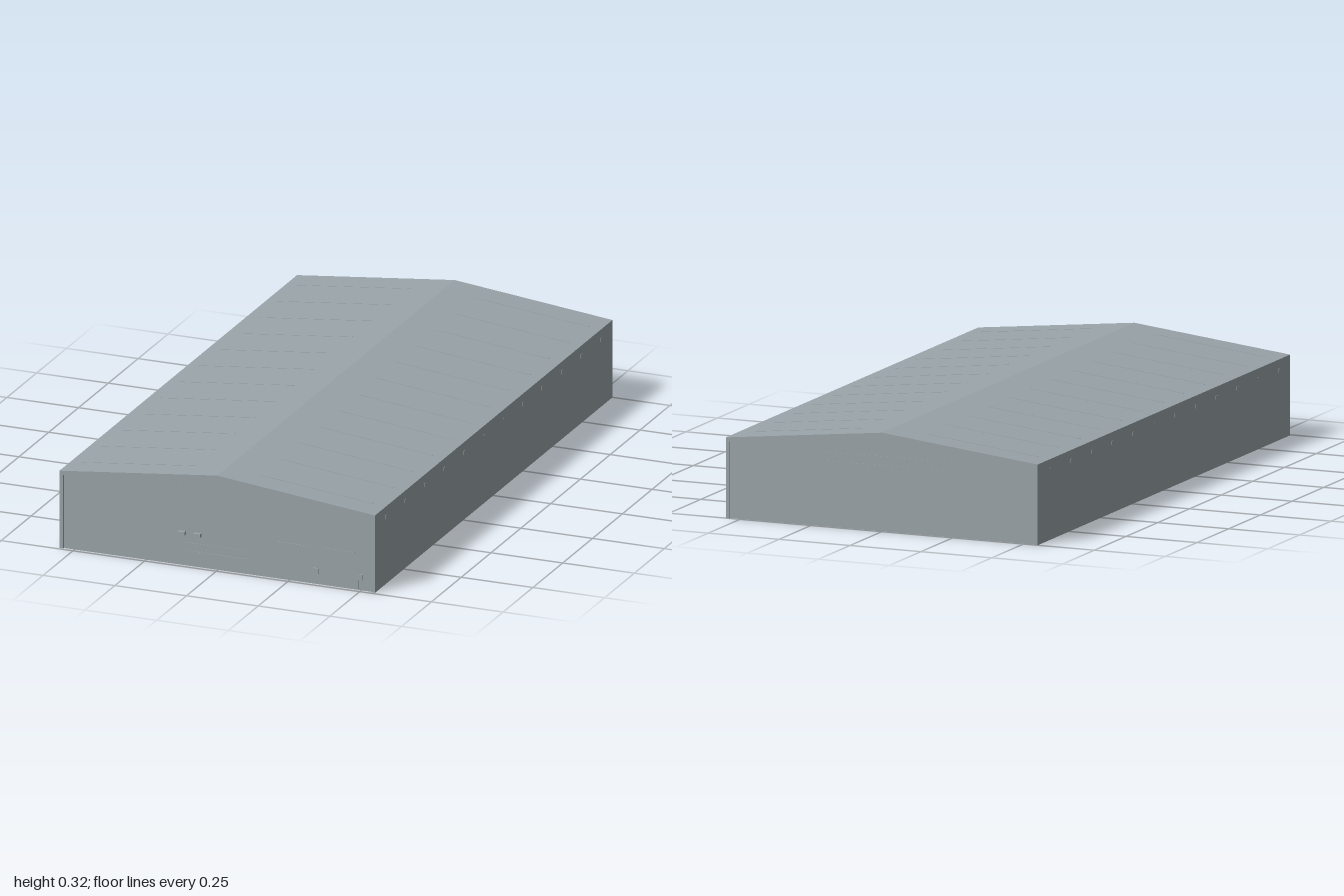
import * as THREE from 'three';

const HALF = 0.55, EAVE = 0.265, RIDGE = 0.325;
const FRONT = 0.992, BACK = -1, RECESS = 0.006;

export function createModel() {
  const model = new THREE.Group();
  model.name = 'warehouse';
  const steel = new THREE.MeshStandardMaterial({ color: 0x9aa4a9 });
  steel.name = 'grey steel';

  const extrude = (name, points, z0, z1) => {
    const shape = new THREE.Shape(points.map(([x, y]) => new THREE.Vector2(x, y)));
    const geo = new THREE.ExtrudeGeometry(shape, { depth: z1 - z0, bevelEnabled: false });
    geo.translate(0, 0, z0);
    const mesh = new THREE.Mesh(geo, steel);
    mesh.name = name;
    model.add(mesh);
  };
  const box = (name, w, h, d, x, y, z) => {
    const mesh = new THREE.Mesh(new THREE.BoxGeometry(w, h, d), steel);
    mesh.name = name;
    mesh.position.set(x, y, z);
    model.add(mesh);
    return mesh;
  };

  // Outer shell: side walls and pitched roof, open at both gables
  const inX = 0.537, inEave = 0.252, inRidge = 0.31;
  extrude('shell', [
    [-HALF, 0], [-inX, 0], [-inX, inEave], [0, inRidge], [inX, inEave], [inX, 0],
    [HALF, 0], [HALF, EAVE], [0, RIDGE], [-HALF, EAVE],
  ], BACK, FRONT);

  // Slightly recessed gable walls and floor
  extrude('gableWalls', [
    [-inX, 0], [inX, 0], [inX, inEave], [0, inRidge], [-inX, inEave],
  ], BACK + RECESS, FRONT - RECESS);

  // Shallow roof seams and small wall brackets at each bay
  const slope = Math.atan2(RIDGE - EAVE, HALF);
  for (let i = 0; i < 12; i++) {
    const z = 0.902 - i * 0.164;
    for (const side of [-1, 1]) {
      const x = side * 0.31;
      const seam = box('roofSeam', 0.4, 0.002, 0.004, x, RIDGE - Math.abs(x) * (RIDGE - EAVE) / HALF, z);
      seam.rotation.z = -side * slope;
      box('wallBracket', 0.003, 0.012, 0.012, side * HALF, 0.23, z);
    }
  }

  // Front wall: door posts, rails and panel trims
  const face = FRONT - RECESS;
  box('doorPost', 0.004, 0.26, 0.004, -0.132, 0.14, face);
  box('doorPost', 0.004, 0.26, 0.004, 0.128, 0.14, face);
  for (const y of [0.05, 0.078]) box('doorRail', 0.22, 0.003, 0.003, -0.005, y, face);
  for (const x of [0.26, 0.425]) box('panelTrim', 0.105, 0.003, 0.003, x, 0.125, face);
  for (const x of [0.2, 0.362, 0.488]) box('smallPost', 0.006, 0.055, 0.006, x, 0.03, face);

  // Front wall fittings
  for (const x of [-0.124, -0.07]) box('wallBox', 0.024, 0.012, 0.012, x, 0.111, face + 0.006);
  for (const x of [0.342, 0.498]) box('lowBox', 0.017, 0.02, 0.006, x, 0.045, face + 0.002);

  // Back wall ledges
  for (const y of [0.215, 0.245]) box('backLedge', 0.46, 0.003, 0.003, 0, y, BACK + RECESS);

  return model;
}
